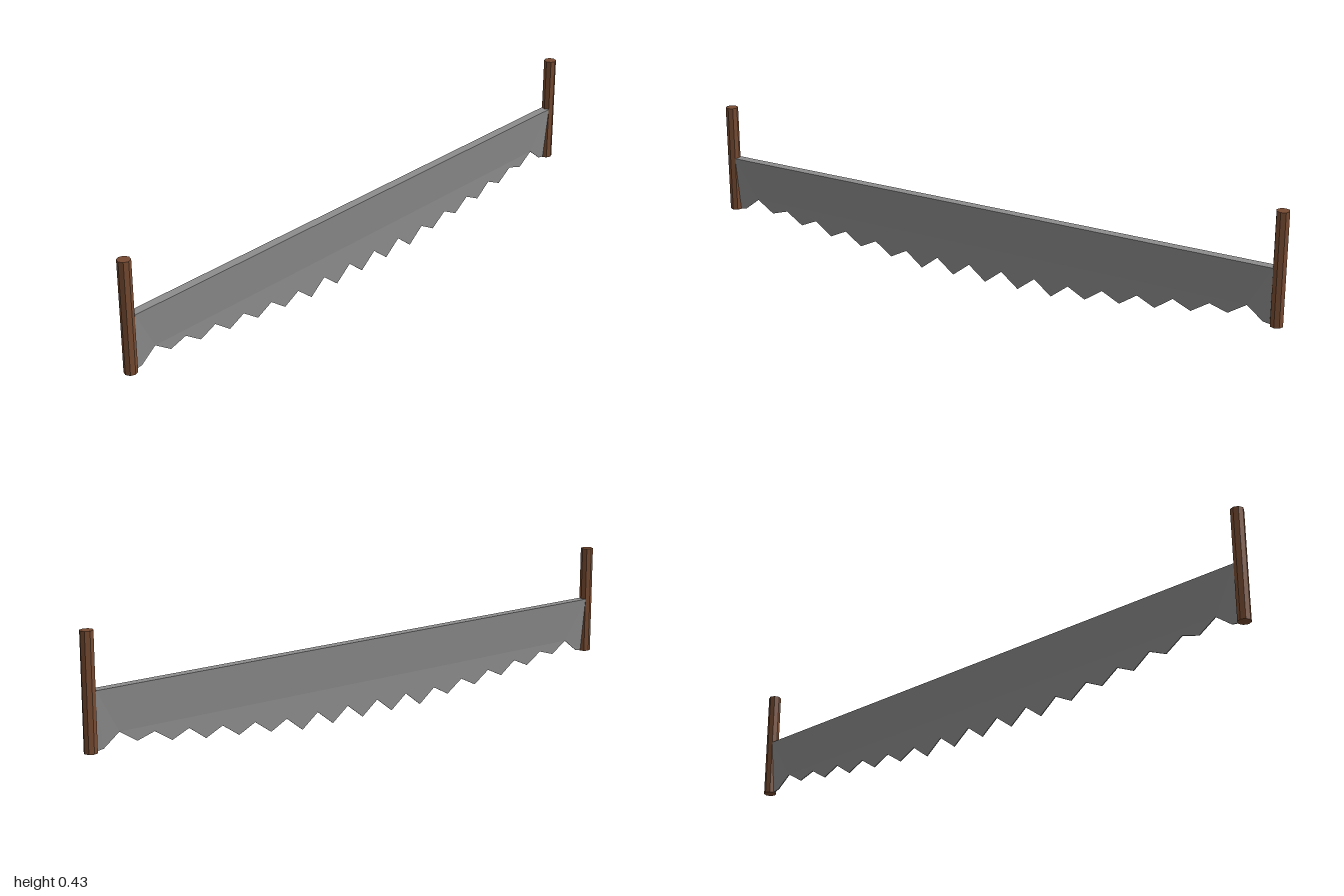
import * as THREE from 'three';

// Heights of the tooth tips and the gaps after them, from the middle outwards
const PITCH = 0.118;
const TIPS = [0, 0, 0, 0.015, 0.027, 0.039, 0.055, 0.075];
const GAPS = [0.046, 0.046, 0.046, 0.056, 0.067, 0.081, 0.093, 0.113];
const END = 0.965, TOP = 0.25;

function bladeGeometry() {
  // Half of the toothed edge, mirrored to make the whole outline
  const half = [];
  TIPS.forEach((tip, i) => {
    half.push([i * PITCH, tip], [(i + 0.5) * PITCH, GAPS[i]]);
  });
  half.push([0.938, 0.072], [END, 0.068]);

  const edge = [...half.slice(1).reverse().map(([z, y]) => [-z, y]), ...half];
  const outline = [...edge, [END, TOP], [-END, TOP]];
  const shape = new THREE.Shape(outline.map(([z, y]) => new THREE.Vector2(z, y)));

  const geometry = new THREE.ExtrudeGeometry(shape, { depth: 1, bevelEnabled: false });
  geometry.translate(0, 0, -0.5);
  geometry.rotateY(-Math.PI / 2);

  // Thick along the back, thin along the teeth
  const pos = geometry.attributes.position;
  for (let i = 0; i < pos.count; i++) {
    const halfThickness = pos.getY(i) > 0.2 ? 0.015 : 0.0015;
    pos.setX(i, Math.sign(pos.getX(i)) * halfThickness);
  }
  geometry.computeVertexNormals();
  return geometry;
}

export function createModel() {
  const steel = new THREE.MeshStandardMaterial({ color: 0x8c8c8c });
  steel.name = 'steel';
  const wood = new THREE.MeshStandardMaterial({ color: 0x764b32 });
  wood.name = 'wood';
  wood.flatShading = true;

  const group = new THREE.Group();
  group.name = 'twoHandedSaw';

  const blade = new THREE.Mesh(bladeGeometry(), steel);
  blade.name = 'blade';
  group.add(blade);

  // Eight-sided upright handle at each end
  const handleGeometry = new THREE.CylinderGeometry(0.0205, 0.0205, 0.358, 8);
  for (const side of [1, -1]) {
    const handle = new THREE.Mesh(handleGeometry, wood);
    handle.name = side > 0 ? 'frontHandle' : 'backHandle';
    handle.position.set(0, 0.246, side * 0.9795);
    group.add(handle);
  }
  return group;
}
